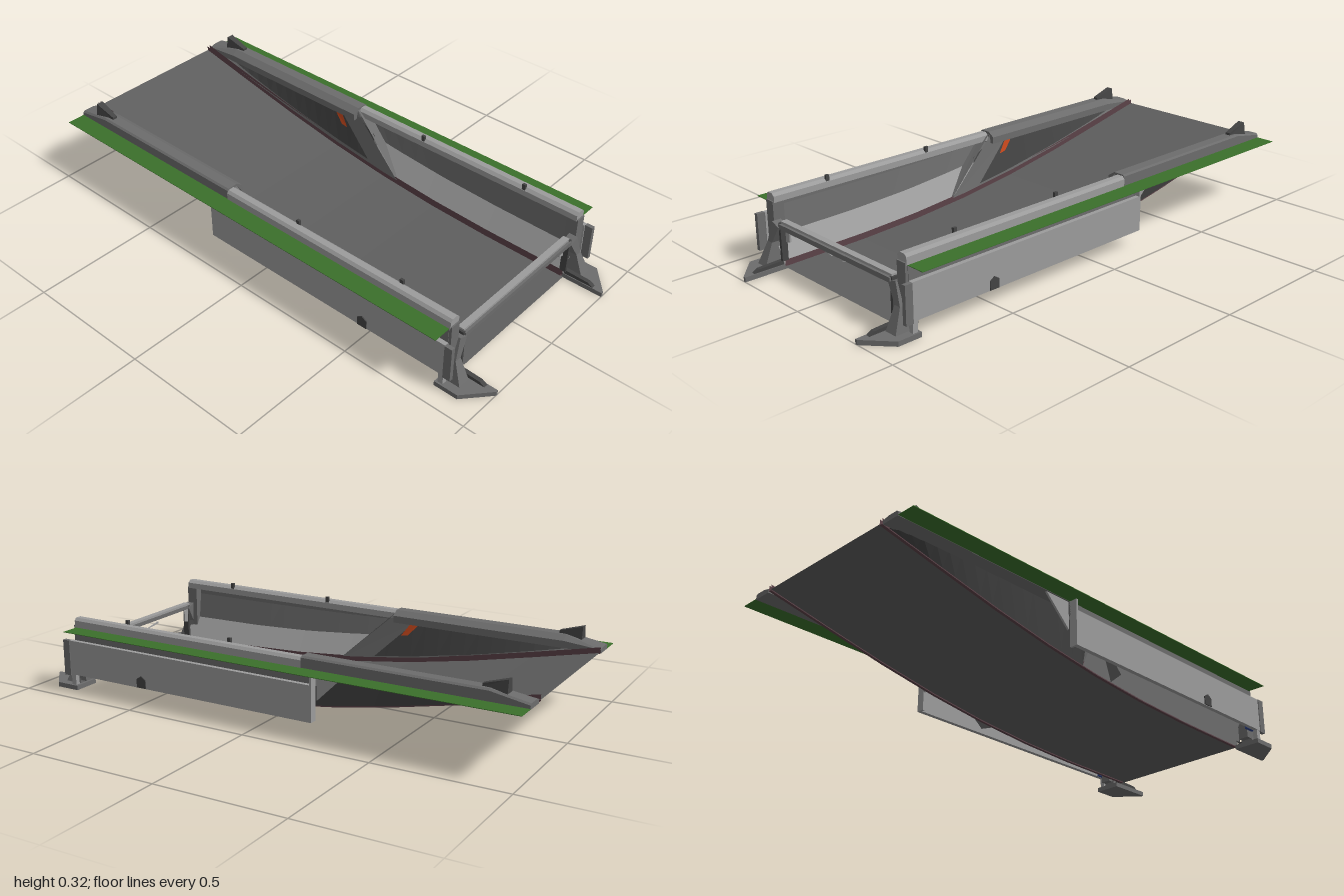
import * as THREE from 'three';

const material = (name, color, side = THREE.FrontSide) => {
  const m = new THREE.MeshStandardMaterial({ color, side });
  m.name = name;
  return m;
};

export function createModel() {
  const model = new THREE.Group();
  model.name = 'loadingRamp';
  const D = THREE.DoubleSide;
  const deckGrey = material('deck grey', 0x5e5e5e, D);
  const darkGrey = material('dark grey', 0x444444, D);
  const midGrey = material('mid grey', 0x6c6c6c, D);
  const lightGrey = material('light grey', 0x9c9c9c, D);
  const green = material('grass green', 0x3b702b, D);
  const mauve = material('mauve trim', 0x5c4349, D);
  const orange = material('orange red', 0xc8481c, D);
  const blue = material('blue', 0x2f4488);

  // Height of the curved deck at a given z
  const curve = [[0.85, 0.02], [0.5, 0.025], [0.25, 0.036], [0, 0.058],
    [-0.25, 0.092], [-0.5, 0.137], [-0.75, 0.19], [-1, 0.245]];
  const deckY = (z) => {
    for (let i = 0; i < curve.length - 1; i++) {
      const [z0, y0] = curve[i], [z1, y1] = curve[i + 1];
      if (z >= z1) return y0 + (y1 - y0) * (z - z0) / (z1 - z0);
    }
    return 0.245;
  };

  const add = (name, geometry, mat) => {
    const mesh = new THREE.Mesh(geometry, mat);
    mesh.name = name;
    model.add(mesh);
  };

  // Adds a part on the left and its mirror image on the right
  const pair = (name, geometry, mat) => {
    add(name + 'Left', geometry, mat);
    const g = geometry.index ? geometry.toNonIndexed() : geometry.clone();
    g.scale(-1, 1, 1);
    const p = g.attributes.position;
    const a = new THREE.Vector3(), b = new THREE.Vector3();
    for (let i = 0; i < p.count; i += 3) {
      a.fromBufferAttribute(p, i + 1);
      b.fromBufferAttribute(p, i + 2);
      p.setXYZ(i + 1, b.x, b.y, b.z);
      p.setXYZ(i + 2, a.x, a.y, a.z);
    }
    g.computeVertexNormals();
    add(name + 'Right', g, mat);
  };

  const box = (x0, x1, y0, y1, z0, z1) =>
    new THREE.BoxGeometry(x1 - x0, y1 - y0, z1 - z0)
      .translate((x0 + x1) / 2, (y0 + y1) / 2, (z0 + z1) / 2);

  const extrude = (points, depth) => new THREE.ExtrudeGeometry(
    new THREE.Shape(points.map(([u, v]) => new THREE.Vector2(u, v))), { depth, bevelEnabled: false });
  const alongZ = (pts, z0, z1) => extrude(pts, z1 - z0).translate(0, 0, z0);
  const alongX = (pts, x0, x1) => extrude(pts, x1 - x0).rotateY(-Math.PI / 2).translate(x1, 0, 0);
  const alongY = (pts, y0, y1) => extrude(pts, y1 - y0).rotateX(Math.PI / 2).translate(0, y1, 0);

  // Flat-shaded surface through rows of points, optionally closed with end caps
  const loft = (rows, closed = false) => {
    const out = [], n = rows[0].length;
    const tri = (...pts) => pts.forEach((p) => out.push(...p));
    for (let i = 0; i < rows.length - 1; i++) {
      for (let j = 0; j < (closed ? n : n - 1); j++) {
        const k = (j + 1) % n;
        tri(rows[i][j], rows[i][k], rows[i + 1][k]);
        tri(rows[i][j], rows[i + 1][k], rows[i + 1][j]);
      }
    }
    if (closed) {
      const last = rows[rows.length - 1];
      for (let j = 1; j < n - 1; j++) {
        tri(rows[0][0], rows[0][j + 1], rows[0][j]);
        tri(last[0], last[j], last[j + 1]);
      }
    }
    const g = new THREE.BufferGeometry();
    g.setAttribute('position', new THREE.Float32BufferAttribute(out, 3));
    g.computeVertexNormals();
    return g;
  };
  // Strip running along z, with a cross-section that depends on z
  const strip = (z0, z1, section, steps = 16) => loft(Array.from({ length: steps + 1 }, (_, i) => {
    const z = z0 + (z1 - z0) * i / steps;
    return section(z).map(([x, y]) => [x, y, z]);
  }));

  // Curved deck and its edge trim
  const deck = strip(0.85, -1, (z) => [[-0.297, deckY(z)], [0.297, deckY(z)]], 37);
  add('deck', deck, deckGrey);
  pair('deckTrim', strip(0.84, -1, (z) =>
    [[0.295, deckY(z) + 0.018], [0.295, deckY(z) - 0.004], [0.307, deckY(z) - 0.004], [0.307, deckY(z) + 0.018]], 37), mauve);

  // Grass verges
  pair('verge', box(0.385, 0.458, 0.239, 0.241, -1, 0.84), green);

  // Front side walls: sloping lower panel and upright upper panel
  pair('slopingPanel', strip(0.84, -0.08, (z) => [[0.307, deckY(z)], [0.365, deckY(z) + 0.095]]), lightGrey);
  pair('upperWall', strip(0.84, -0.23, (z) => [[0.365, deckY(z) + 0.095], [0.382, 0.25]]), midGrey);
  pair('wallBand', box(0.378, 0.388, 0.185, 0.238, -0.23, 0.84), midGrey);

  // Outer skirt with its rear cap and small plate
  pair('skirt', box(0.4, 0.417, 0.06, 0.195, -0.226, 0.85), lightGrey);
  pair('skirtCap', box(0.385, 0.417, 0.06, 0.238, -0.23, -0.222), lightGrey);
  pair('skirtPlate', alongX([[0.485, 0.062], [0.525, 0.062], [0.525, 0.095], [0.505, 0.108], [0.485, 0.095]], 0.417, 0.421), darkGrey);
  pair('skirtEndPost', box(0.404, 0.42, 0.055, 0.195, 0.85, 0.88), midGrey);

  // Handrail with locating pegs
  pair('handrail', alongZ([[0.343, 0.245], [0.387, 0.24], [0.387, 0.268], [0.378, 0.278], [0.355, 0.278], [0.343, 0.268]], -0.17, 0.845), lightGrey);
  for (const z of [0.615, 0.15]) pair('railPeg', box(0.344, 0.354, 0.26, 0.292, z - 0.007, z + 0.007), darkGrey);

  // Rear side beams, tapering at the upper end
  const beam = [[-0.17, 0.283, 0.265], [-0.86, 0.283, 0.265], [-1, 0.258, 0.252]].map(([z, top, shoulder]) => [
    [0.385, 0.238, z], [0.385, top - 0.006, z], [0.378, top, z], [0.338, top, z], [0.311, shoulder, z], [0.311, 0.238, z]]);
  pair('rearBeam', loft(beam, true), midGrey);

  // Wedge-shaped wall between deck and rear beam, with diagonal pillar and kerb
  const wallX = (z, y) => 0.307 + 0.03 * (y - deckY(z)) / Math.max(0.03, 0.25 - deckY(z));
  pair('wedgeWall', strip(-0.08, -0.97, (z) => [[0.307, deckY(z)], [0.335, Math.max(deckY(z), Math.min(0.25, 0.15 - z * 0.55))]]), darkGrey);
  pair('wedgeKerb', strip(-0.08, -0.9, (z) => [[0.304, deckY(z)], [wallX(z, deckY(z) + 0.02) - 0.004, deckY(z) + 0.02]]), midGrey);
  pair('diagonalPillar', loft([
    [[0.304, 0.052, 0.07], [0.304, 0.07, -0.07]],
    [[0.328, 0.25, -0.15], [0.328, 0.25, -0.26]],
    [[0.338, 0.283, -0.18], [0.338, 0.283, -0.29]]]), midGrey);
  pair('pillarFront', loft([
    [[0.304, 0.052, 0.07], [0.365, 0.06, 0.06]],
    [[0.338, 0.283, -0.18], [0.382, 0.278, -0.18]]]), midGrey);
  pair('pillarMarker', loft([
    [[0.31, 0.19, -0.205], [0.31, 0.195, -0.235]],
    [[0.318, 0.238, -0.24], [0.318, 0.238, -0.275]]]), orange);
  pair('outerGusset', alongX([[-0.23, 0.13], [-0.23, 0.238], [-0.34, 0.238]], 0.372, 0.38), lightGrey);

  // Wedge brackets on the rear beams
  pair('rearBracket', loft([
    [[0.348, 0.28, -0.83], [0.367, 0.28, -0.83], [0.367, 0.292, -0.83], [0.348, 0.292, -0.83]],
    [[0.335, 0.27, -0.92], [0.378, 0.27, -0.92], [0.37, 0.319, -0.92], [0.342, 0.319, -0.92]]], true), darkGrey);

  // Front frame: crossbar, ledges and gussets
  add('crossbar', box(-0.312, 0.312, 0.16, 0.178, 0.825, 0.855), midGrey);
  add('crossbarCap', box(-0.31, 0.31, 0.178, 0.187, 0.82, 0.845), lightGrey);
  pair('crossbarGusset', alongZ([[0.282, 0.155], [0.305, 0.16], [0.305, 0.105], [0.282, 0.11]], 0.825, 0.832), lightGrey);
  pair('crossbarTab', alongZ([[0.03, 0.138], [0.1, 0.145], [0.1, 0.152]], 0.825, 0.832), lightGrey);

  // Front posts, raking legs and feet
  pair('frontPost', box(0.345, 0.386, 0.03, 0.25, 0.805, 0.85), midGrey);
  pair('frontPostInner', box(0.307, 0.318, 0.035, 0.18, 0.825, 0.85), darkGrey);
  pair('frontLeg', loft([
    [[0.34, 0.018, 0.9], [0.39, 0.018, 0.9], [0.39, 0.018, 0.83], [0.34, 0.018, 0.83]],
    [[0.345, 0.1, 0.865], [0.372, 0.1, 0.865], [0.372, 0.1, 0.825], [0.345, 0.1, 0.825]],
    [[0.308, 0.165, 0.858], [0.345, 0.18, 0.858], [0.345, 0.18, 0.822], [0.308, 0.165, 0.822]]].reverse(), true), midGrey);
  pair('foot', alongY([[0.315, 0.82], [0.422, 0.82], [0.422, 0.915], [0.325, 1], [0.315, 1]], 0, 0.018), midGrey);
  pair('footRib', alongX([[0.84, 0.018], [0.96, 0.018], [0.94, 0.03], [0.84, 0.034]], 0.318, 0.335), darkGrey);
  pair('hinge', box(0.396, 0.415, 0.018, 0.06, 0.83, 0.85), lightGrey);
  pair('hingePad', box(0.386, 0.399, 0.06, 0.11, 0.79, 0.835), blue);

  return model;
}
